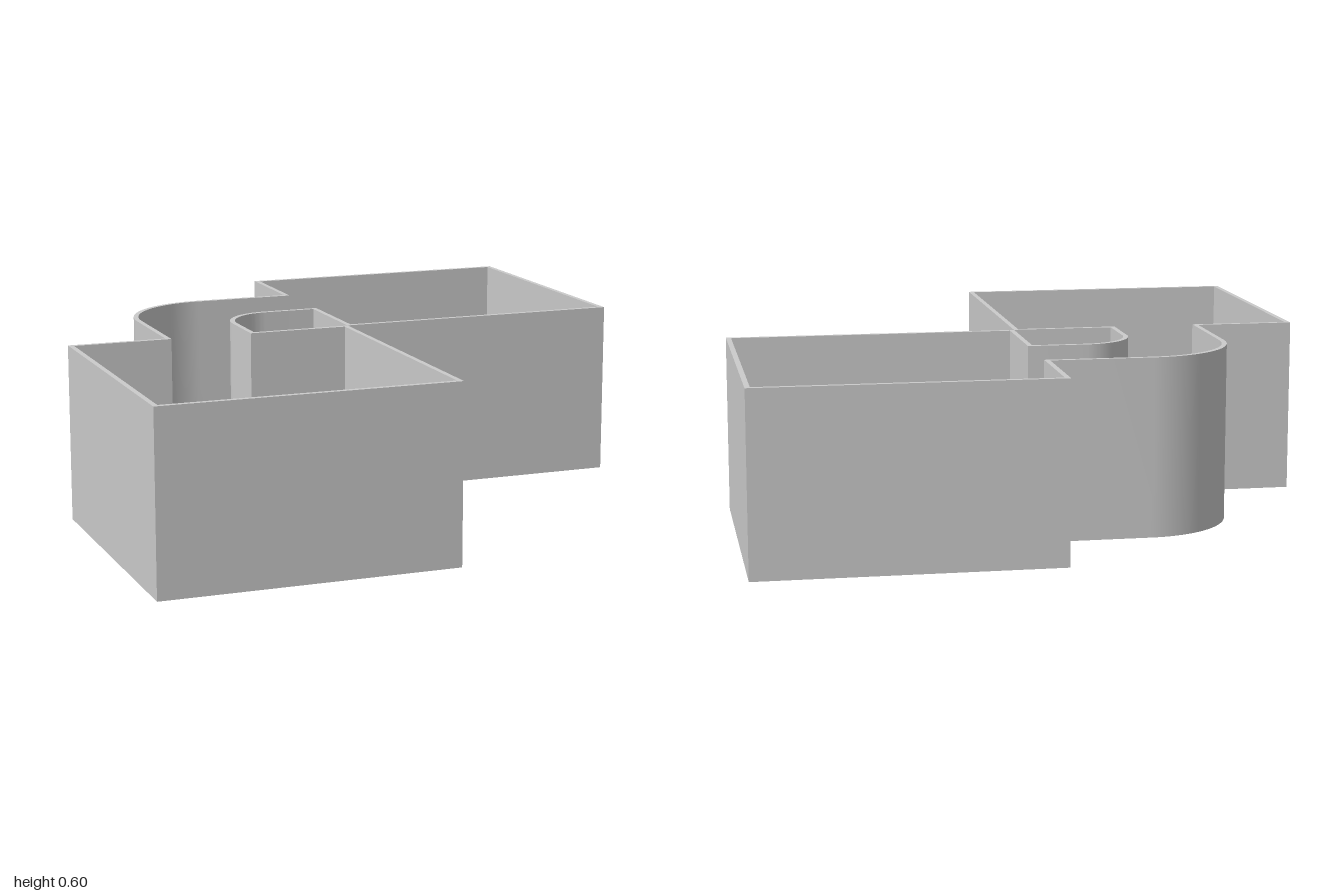
import * as THREE from 'three';
import { toCreasedNormals } from 'three/addons/utils/BufferGeometryUtils.js';

const H = 0.6;        // wall height
const T = 0.017;      // wall thickness
const OUTER = 0.662;  // outer face of the passage's outer wall
const INNER = 0.362;  // passage face of the passage's inner wall

export function createModel() {
  const group = new THREE.Group();
  const material = new THREE.MeshStandardMaterial({ color: 0xcccccc });

  // Raise a floor-plan shape (x, north) into a wall standing on y = 0
  const addWall = (name, shape) => {
    const flat = new THREE.ExtrudeGeometry(shape, { depth: H, bevelEnabled: false, curveSegments: 20 });
    flat.rotateX(-Math.PI / 2);
    const mesh = new THREE.Mesh(toCreasedNormals(flat, 0.5), material);
    mesh.name = name;
    group.add(mesh);
  };

  // Square room outline, open where the passage enters
  const room = [
    [0, OUTER - T], [0, 1], [1, 1], [1, 0], [0, 0], [0, INNER],
    [T, INNER], [T, T], [1 - T, T], [1 - T, 1 - T], [T, 1 - T], [T, OUTER - T],
  ];
  const toShape = (pts) => new THREE.Shape(pts.map(([x, n]) => new THREE.Vector2(x, n)));
  addWall('backRoomWalls', toShape(room));
  // The front room mirrors the back room across the plan's diagonal
  addWall('frontRoomWalls', toShape(room.map(([x, n]) => [-n, -x])));

  // Passage wall: two straight runs joined by a quarter turn
  const passageWall = (face, centre) => {
    const r = face - centre;
    const s = new THREE.Shape();
    s.moveTo(0, face);
    s.lineTo(-centre, face);
    s.absarc(-centre, centre, r, Math.PI / 2, Math.PI, false);
    s.lineTo(-face, 0);
    s.lineTo(-face + T, 0);
    s.lineTo(-face + T, centre);
    s.absarc(-centre, centre, r - T, Math.PI, Math.PI / 2, true);
    s.lineTo(0, face - T);
    return s;
  };
  addWall('passageOuterWall', passageWall(OUTER, 0.34));
  addWall('passageInnerWall', passageWall(INNER, 0.18));

  return group;
}
